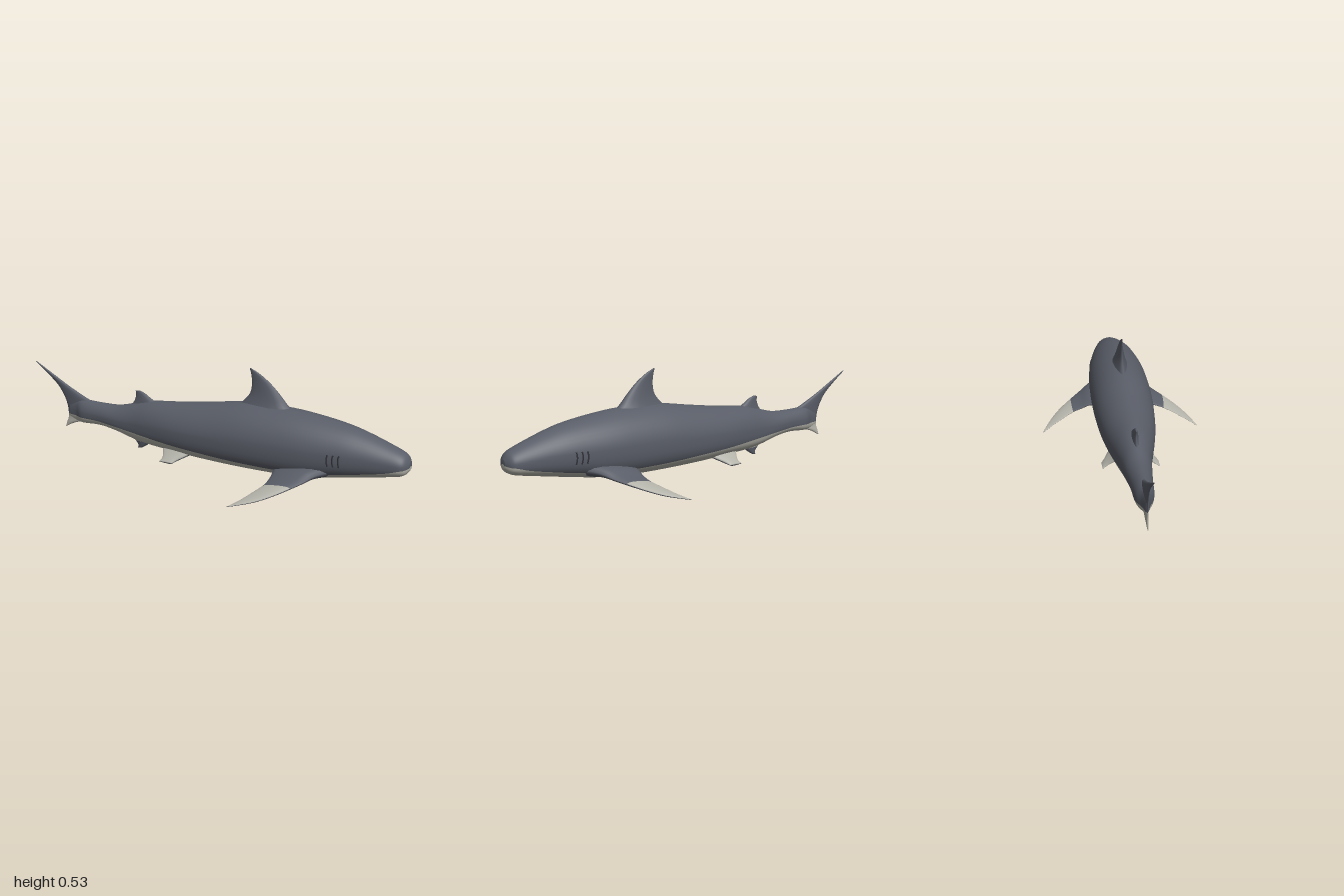
import * as THREE from 'three';

const SUB = 5; // spline steps between two given sections

// Catmull-Rom through rows of numbers, column by column
function spline(rows) {
  const out = [], last = rows.length - 1;
  for (let i = 0; i < last; i++) {
    const [a, b, c, d] = [rows[Math.max(i - 1, 0)], rows[i], rows[i + 1], rows[Math.min(i + 2, last)]];
    for (let j = 0; j < SUB; j++) {
      const t = j / SUB;
      out.push(b.map((v, k) => {
        const cubic = 3 * (v - c[k]) + d[k] - a[k];
        const square = 2 * a[k] - 5 * v + 4 * c[k] - d[k];
        return v + 0.5 * t * (c[k] - a[k] + t * (square + t * cubic));
      }));
    }
  }
  out.push(rows[last]);
  return out;
}

// Skin closed rings; paint(ring, side) gives the material index of each quad
function loft(name, rings, materials, paint) {
  const K = rings[0].length, N = rings.length, pos = rings.flat(2);
  const lists = materials.map(() => []);
  const centre = (ring) => [0, 1, 2].map((c) => ring.reduce((s, p) => s + p[c], 0) / K);
  pos.push(...centre(rings[0]), ...centre(rings[N - 1]));
  for (let k = 0; k < K; k++) {
    const n = (k + 1) % K;
    for (let i = 0; i < N - 1; i++) {
      const a = i * K + k, b = i * K + n;
      lists[paint(i, k)].push(a, b, a + K, b, b + K, a + K);
    }
    lists[paint(0, k)].push(N * K, n, k);
    lists[paint(N - 1, k)].push(N * K + 1, (N - 1) * K + k, (N - 1) * K + n);
  }
  // turn faces outward if the enclosed volume is negative
  const P = (i) => new THREE.Vector3().fromArray(pos, i * 3);
  const all = lists.flat();
  let volume = 0;
  for (let i = 0; i < all.length; i += 3) {
    volume += P(all[i]).dot(P(all[i + 1]).cross(P(all[i + 2])));
  }
  if (volume < 0) lists.forEach((l) => l.reverse());
  const g = new THREE.BufferGeometry();
  g.setAttribute('position', new THREE.Float32BufferAttribute(pos, 3));
  g.setIndex(lists.flat());
  let start = 0;
  lists.forEach((l, i) => {
    g.addGroup(start, l.length, i);
    start += l.length;
  });
  g.computeVertexNormals();
  const mesh = new THREE.Mesh(g, materials);
  mesh.name = name;
  return mesh;
}

// Fin from rows [lead xyz, trail xyz, half thickness], thickened along a normal
const FIN_SIDES = 16;
function fin(name, rows, normal, materials, paint) {
  const rings = spline(rows).map((r) => Array.from({ length: FIN_SIDES }, (_, k) => {
    const a = (k + 0.5) / FIN_SIDES * Math.PI * 2, u = (1 - Math.cos(a)) / 2;
    const h = r[6] * Math.sin(a) * (1.25 - 0.6 * u);
    return [0, 1, 2].map((c) => r[c] + (r[c + 3] - r[c]) * u + normal[c] * h);
  }));
  return loft(name, rings, materials, paint);
}

// Upright fin rows from [lead x, lead y, trail x, trail y, half thickness]
const upright = (rows) => rows.map(([lx, ly, tx, ty, h]) => [lx, ly, 0, tx, ty, 0, h]);

// Body stations: x, top, bottom, half width, colour line height
const BODY = spline([
  [-0.80, 0.23, 0.16, 0.006, 0.172], [-0.75, 0.25, 0.142, 0.02, 0.172], [-0.70, 0.258, 0.138, 0.042, 0.172],
  [-0.60, 0.255, 0.142, 0.05, 0.17], [-0.50, 0.258, 0.128, 0.06, 0.16], [-0.40, 0.282, 0.102, 0.071, 0.15],
  [-0.30, 0.305, 0.088, 0.09, 0.142], [-0.15, 0.32, 0.08, 0.118, 0.132], [0.0, 0.34, 0.071, 0.136, 0.124],
  [0.2, 0.368, 0.064, 0.148, 0.112], [0.4, 0.37, 0.063, 0.148, 0.106], [0.55, 0.357, 0.072, 0.14, 0.108],
  [0.7, 0.333, 0.093, 0.12, 0.124], [0.8, 0.306, 0.109, 0.101, 0.139], [0.9, 0.271, 0.125, 0.08, 0.156],
  [0.96, 0.247, 0.136, 0.066, 0.172], [0.985, 0.23, 0.148, 0.05, 0.176], [1.0, 0.205, 0.168, 0.02, 0.18],
]);
const TOP_POWER = 1.85, LOW_POWER = 2.7;
const middle = ([, top, low]) => low + 0.48 * (top - low);

const BELLY = 18, BACK = 30;
function bodyRing(s) {
  const [x, top, low, w, line] = s, mid = middle(s);
  const drop = THREE.MathUtils.clamp((mid - line) / (mid - low), 0.02, 0.97);
  const a0 = Math.asin(Math.pow(drop, LOW_POWER / 2));
  const at = (a) => {
    const c = Math.cos(a), n = Math.sin(a), e = 2 / (n > 0 ? TOP_POWER : LOW_POWER);
    return [x, mid + Math.sign(n) * (n > 0 ? top - mid : mid - low) * Math.abs(n) ** e,
      w * Math.sign(c) * Math.abs(c) ** e];
  };
  const ring = [];
  for (let k = 0; k < BELLY; k++) ring.push(at(Math.PI + a0 + (Math.PI - 2 * a0) * k / BELLY));
  for (let k = 0; k < BACK; k++) ring.push(at(-a0 + (Math.PI + 2 * a0) * k / BACK));
  return ring;
}

// Half width of the body at a given x and height
function flank(x, y) {
  const i = BODY.findIndex((s) => s[0] >= x), a = BODY[i - 1], b = BODY[i];
  const s = a.map((v, k) => v + (b[k] - v) * (x - a[0]) / (b[0] - a[0])), mid = middle(s);
  const e = y > mid ? TOP_POWER : LOW_POWER, r = (y - mid) / (y > mid ? s[1] - mid : mid - s[2]);
  return s[3] * (1 - Math.abs(r) ** e) ** (1 / e);
}

export function createModel() {
  const material = (name, color) => Object.assign(new THREE.MeshStandardMaterial({ color }), { name });
  const grey = material('slateGrey', 0x595d67);
  const pale = material('paleBelly', 0xb4b3aa);
  const dark = material('gillDark', 0x34363c);
  const two = [grey, pale];
  const model = new THREE.Group();
  model.name = 'shark';

  model.add(loft('body', BODY.map(bodyRing), two, (i, k) => (k < BELLY ? 1 : 0)));

  // Fins on the centre line
  const side = [0, 0, 1];
  model.add(fin('dorsalFin', upright([
    [0.47, 0.335, 0.14, 0.335, 0.05], [0.415, 0.375, 0.185, 0.375, 0.032], [0.375, 0.42, 0.218, 0.415, 0.02],
    [0.325, 0.47, 0.228, 0.46, 0.011], [0.27, 0.51, 0.224, 0.505, 0.006], [0.222, 0.534, 0.216, 0.533, 0.002],
  ]), side, [grey], () => 0));
  model.add(fin('secondDorsalFin', upright([
    [-0.26, 0.285, -0.44, 0.255, 0.02], [-0.315, 0.315, -0.412, 0.29, 0.013],
    [-0.35, 0.337, -0.4, 0.32, 0.008], [-0.38, 0.348, -0.402, 0.344, 0.003],
  ]), side, [grey], () => 0));
  model.add(fin('analFin', upright([
    [-0.27, 0.11, -0.45, 0.13, 0.018], [-0.32, 0.085, -0.41, 0.09, 0.012],
    [-0.355, 0.063, -0.393, 0.068, 0.008], [-0.375, 0.052, -0.395, 0.051, 0.004],
  ]), side, two, (i) => (i < SUB ? 1 : 0)));
  model.add(fin('tailFin', upright([
    [-0.822, 0.1, -0.828, 0.1, 0.002], [-0.765, 0.128, -0.817, 0.128, 0.007], [-0.68, 0.15, -0.809, 0.15, 0.01],
    [-0.64, 0.172, -0.807, 0.172, 0.012], [-0.64, 0.21, -0.811, 0.21, 0.013], [-0.65, 0.245, -0.822, 0.245, 0.013],
    [-0.715, 0.276, -0.838, 0.276, 0.011], [-0.8, 0.317, -0.868, 0.317, 0.008], [-0.9, 0.371, -0.926, 0.367, 0.006],
    [-0.995, 0.424, -1.0, 0.422, 0.002],
  ]), side, two, (i) => (i < 3 * SUB ? 1 : 0)));

  for (const s of [1, -1]) {
    const label = s > 0 ? 'Near' : 'Far';

    // Swept pectoral fin, pale on the upper side of the tip
    model.add(fin('pectoralFin' + label, [
      [0.67, 0.125, s * 0.09, 0.38, 0.105, s * 0.09, 0.035],
      [0.615, 0.115, s * 0.145, 0.402, 0.1, s * 0.145, 0.024],
      [0.575, 0.095, s * 0.195, 0.405, 0.082, s * 0.19, 0.015],
      [0.535, 0.077, s * 0.24, 0.398, 0.067, s * 0.235, 0.012],
      [0.475, 0.052, s * 0.3, 0.37, 0.047, s * 0.29, 0.009],
      [0.405, 0.028, s * 0.35, 0.337, 0.025, s * 0.345, 0.006],
      [0.305, 0.006, s * 0.396, 0.298, 0.005, s * 0.396, 0.002],
    ], [0, 0.93, s * 0.37], two, (i, k) => (i >= 3 * SUB && k < FIN_SIDES / 2 ? 1 : 0)));

    // Small pelvic fin, pale above and grey beneath
    model.add(fin('pelvicFin' + label, [
      [-0.03, 0.105, s * 0.06, -0.22, 0.11, s * 0.06, 0.02],
      [-0.07, 0.083, s * 0.09, -0.2, 0.085, s * 0.09, 0.013],
      [-0.11, 0.062, s * 0.115, -0.19, 0.064, s * 0.115, 0.01],
      [-0.128, 0.05, s * 0.133, -0.198, 0.052, s * 0.133, 0.005],
    ], [0, 0.83, s * 0.55], two, (i, k) => (k < FIN_SIDES / 2 ? 1 : 0)));

    // Gill slits lying on the flank
    for (const x of [0.658, 0.683, 0.709]) {
      const points = [0.165, 0.18, 0.195, 0.21, 0.22].map((y, j) => {
        const px = x - 0.004 * Math.sin(j / 4 * Math.PI);
        return new THREE.Vector3(px, y, s * flank(px, y));
      });
      const slit = new THREE.Mesh(
        new THREE.TubeGeometry(new THREE.CatmullRomCurve3(points), 12, 0.0035, 6), dark);
      slit.name = 'gillSlit' + label;
      model.add(slit);
    }
  }
  return model;
}
